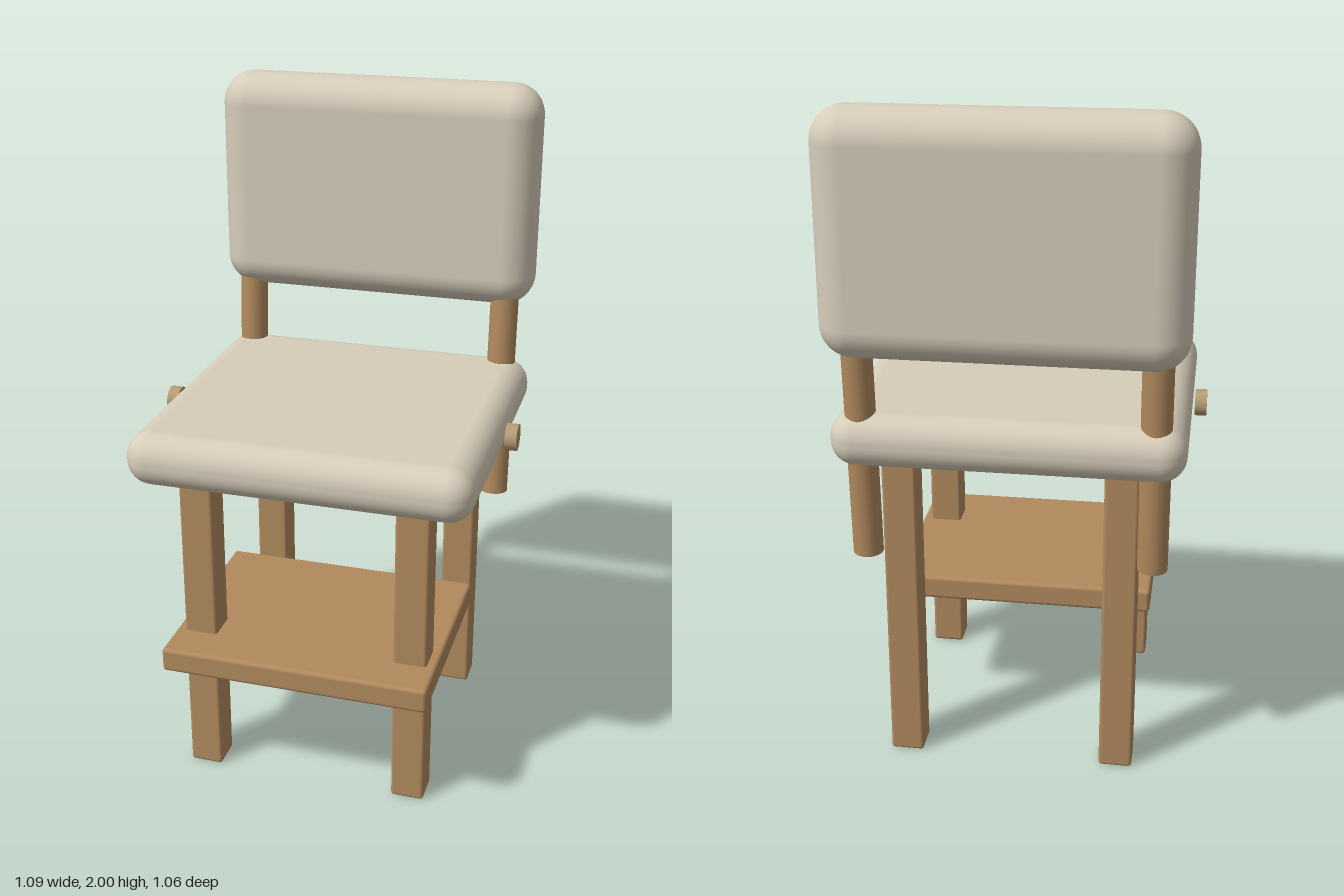
import * as THREE from 'three';
import { RoundedBoxGeometry } from 'three/addons/geometries/RoundedBoxGeometry.js';

export function createModel() {
  const group = new THREE.Group();
  const fabric = new THREE.MeshStandardMaterial({ color: 0xd6ccb9 });
  const wood = new THREE.MeshStandardMaterial({ color: 0xb18a5e });
  const knobWood = new THREE.MeshStandardMaterial({ color: 0xb59d74 });

  const add = (name, geometry, material, x, y, z) => {
    const mesh = new THREE.Mesh(geometry, material);
    mesh.name = name;
    mesh.position.set(x, y, z);
    group.add(mesh);
    return mesh;
  };

  // Cushions
  add('seat', new RoundedBoxGeometry(1.005, 0.16, 0.98, 6, 0.075), fabric, 0, 1.06, 0.03);
  add('backrest', new RoundedBoxGeometry(1.005, 0.68, 0.2, 6, 0.095), fabric, 0, 1.66, -0.43);

  // Footrest shelf
  add('footrest', new RoundedBoxGeometry(0.8, 0.075, 0.64, 2, 0.012), wood, 0, 0.44, 0.214);

  const legGeometry = new RoundedBoxGeometry(0.1, 1, 0.1, 2, 0.01);
  const postGeometry = new THREE.CylinderGeometry(0.044, 0.044, 0.72, 24);
  const knobGeometry = new THREE.CylinderGeometry(0.04, 0.04, 0.035, 24);

  for (const [side, s] of [['left', 1], ['right', -1]]) {
    // Square legs, set into the seat
    add(side + 'FrontLeg', legGeometry, wood, s * 0.322, 0.505, 0.362);
    add(side + 'BackLeg', legGeometry, wood, s * 0.322, 0.505, -0.304);

    // Back posts leaning slightly rearwards
    add(side + 'BackPost', postGeometry, wood, s * 0.415, 1.053, -0.384).rotation.x = -0.06;

    // Round knobs beside the seat
    add(side + 'Knob', knobGeometry, knobWood, s * 0.527, 1.06, 0.027).rotation.z = Math.PI / 2;
  }

  return group;
}
